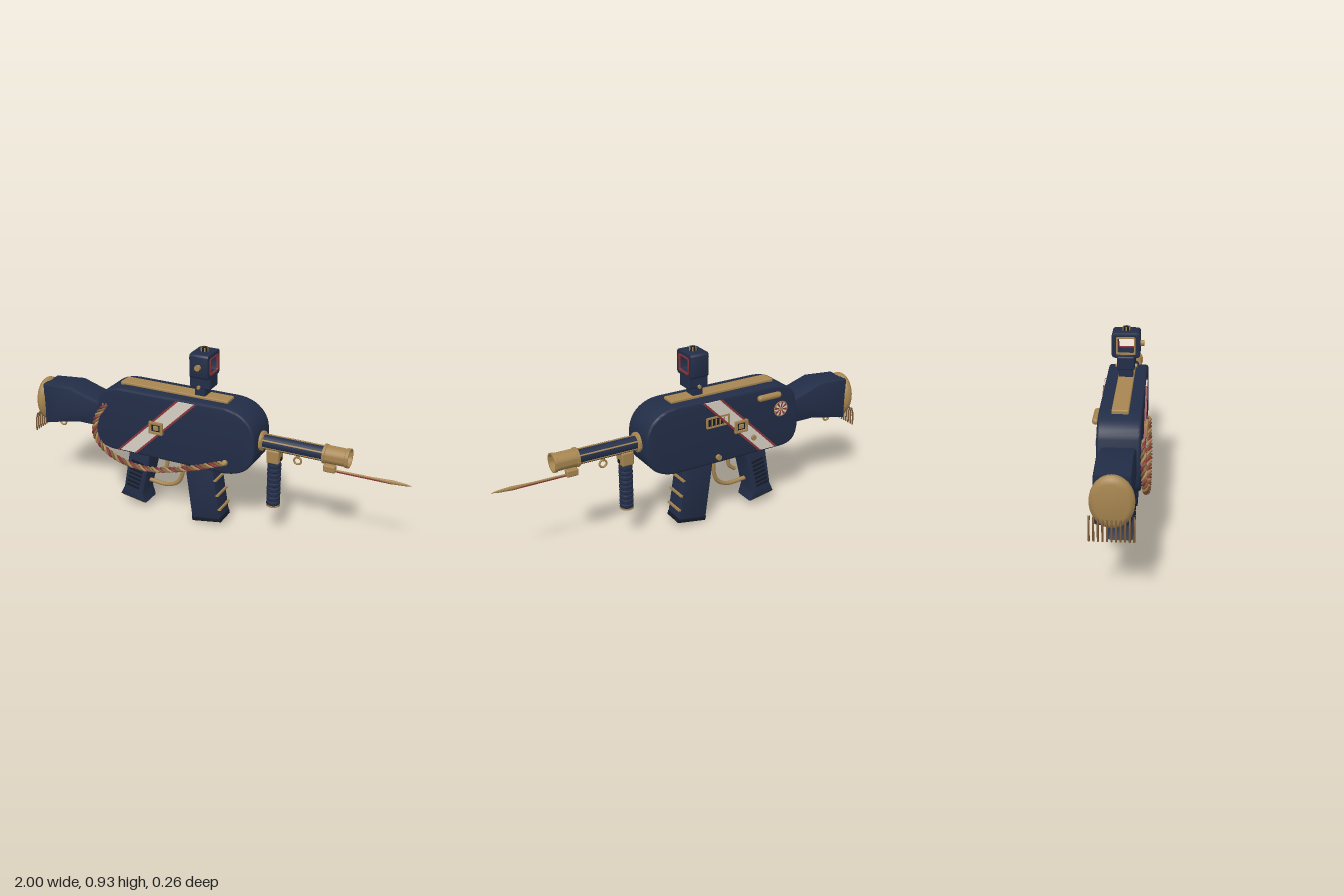
import * as THREE from 'three';
import { toCreasedNormals } from 'three/addons/utils/BufferGeometryUtils.js';
import { RoundedBoxGeometry } from 'three/addons/geometries/RoundedBoxGeometry.js';

const mat = (name, color) => Object.assign(new THREE.MeshStandardMaterial({ color }), { name });
const navy = mat('navy', 0x222d47);
const black = mat('dark navy', 0x141a28);
const gold = mat('antique gold', 0xa68550);
const bronze = mat('bronze', 0x7a5a38);
const red = mat('dark red', 0x8a3438);
const white = mat('ivory', 0xd8d0c4);

const V = (x, y, z = 0) => new THREE.Vector3(x, y, z);

export function createModel() {
  const model = new THREE.Group();
  model.name = 'ceremonialGun';
  model.position.z = -0.007;

  const add = (name, geo, material, x = 0, y = 0, z = 0) => {
    const m = new THREE.Mesh(geo, material);
    m.name = name;
    m.position.set(x, y, z);
    model.add(m);
    return m;
  };
  const box = (name, material, w, h, d, x, y, z = 0) => add(name, new THREE.BoxGeometry(w, h, d), material, x, y, z);
  const rbox = (name, material, w, h, d, x, y, z = 0, r = 0.008) =>
    add(name, new RoundedBoxGeometry(w, h, d, 2, r), material, x, y, z);
  const poly = (pts) => new THREE.Shape(pts.map(([x, y]) => new THREE.Vector2(x, y)));
  // Side outline extruded symmetrically across z, with bevelled edges
  const slab = (shape, half, bevel = 0.01, segs = 2) => {
    const g = new THREE.ExtrudeGeometry(shape, {
      depth: 2 * (half - bevel), bevelEnabled: bevel > 0, bevelSize: bevel, bevelThickness: bevel,
      bevelOffset: -bevel, bevelSegments: segs, curveSegments: 14,
    });
    g.translate(0, 0, -(half - bevel));
    return toCreasedNormals(g, 0.6);
  };
  const tube = (name, pts, r, material, segs = 30) =>
    add(name, new THREE.TubeGeometry(new THREE.CatmullRomCurve3(pts), segs, r, 8), material);
  const rod = (name, material, r, len, x, y, z, axis) => {
    const g = new THREE.CylinderGeometry(r, r, len, 24);
    if (axis === 'x') g.rotateZ(-Math.PI / 2);
    if (axis === 'z') g.rotateX(Math.PI / 2);
    return add(name, g, material, x, y, z);
  };
  // Profile of [radius, distance] pairs turned around the x axis
  const turned = (name, profile, material, x, y) => {
    const g = new THREE.LatheGeometry(profile.map(([r, d]) => new THREE.Vector2(r, d)), 32);
    return add(name, toCreasedNormals(g.rotateZ(-Math.PI / 2), 0.6), material, x, y);
  };
  const roundRect = (path, hw, hh, r) => {
    path.moveTo(-hw + r, -hh).lineTo(hw - r, -hh).quadraticCurveTo(hw, -hh, hw, -hh + r)
      .lineTo(hw, hh - r).quadraticCurveTo(hw, hh, hw - r, hh)
      .lineTo(-hw + r, hh).quadraticCurveTo(-hw, hh, -hw, hh - r)
      .lineTo(-hw, -hh + r).quadraticCurveTo(-hw, -hh, -hw + r, -hh);
    return path;
  };
  const frame = (hw, hh, r, iw, ih, ir) => {
    const s = roundRect(new THREE.Shape(), hw, hh, r);
    s.holes.push(roundRect(new THREE.Path(), iw, ih, ir));
    return s;
  };

  // Receiver
  const body = new THREE.Shape();
  body.moveTo(-0.52, 0.335).lineTo(0.1, 0.335).bezierCurveTo(0.2, 0.34, 0.265, 0.39, 0.265, 0.48)
    .lineTo(0.265, 0.53).bezierCurveTo(0.265, 0.62, 0.2, 0.68, 0.1, 0.682)
    .lineTo(-0.44, 0.682).bezierCurveTo(-0.53, 0.68, -0.575, 0.65, -0.592, 0.6)
    .lineTo(-0.617, 0.47).bezierCurveTo(-0.617, 0.37, -0.59, 0.34, -0.52, 0.335);
  add('receiver', slab(body, 0.096, 0.012, 3), navy);
  rbox('topRail', gold, 0.59, 0.026, 0.076, -0.195, 0.682, 0, 0.006);

  // Stock and butt plate
  add('stock', slab(poly([[-0.945, 0.39], [-0.725, 0.435], [-0.58, 0.435], [-0.58, 0.562], [-0.78, 0.625],
    [-0.945, 0.61]]), 0.078, 0.015), navy);
  const butt = turned('buttPlate', [[0, -0.028], [0.75, -0.026], [0.92, -0.02], [1, -0.006], [1, 0.008],
    [0.92, 0.022], [0, 0.026]], gold, -0.96, 0.505);
  butt.scale.set(1, 0.116, 0.092);
  // Fringe hanging from the butt plate
  for (let i = 0; i < 11; i++) {
    const z = -0.09 + i * 0.018;
    tube('fringeStrand', [V(-0.978, 0.45, z), V(-0.992, 0.41, z), V(-0.996, 0.345, z)], 0.0042, bronze, 6);
  }
  // Sling rings
  for (const [x, y] of [[-0.885, 0.38], [0.45, 0.44]]) {
    add('slingRing', new THREE.TorusGeometry(0.018, 0.005, 8, 20), gold, x, y);
    rod('ringStud', gold, 0.009, 0.03, x, y + 0.03, 0, 'y');
  }

  // Barrel with inlaid strips, collar and hollow muzzle
  rod('barrel', navy, 0.038, 0.35, 0.43, 0.508, 0, 'x');
  for (let i = 0; i < 6; i++) {
    const a = (i + 0.5) * Math.PI / 3;
    box('barrelStrip', gold, 0.33, 0.007, 0.007, 0.425, 0.508 + 0.037 * Math.sin(a), 0.037 * Math.cos(a)).rotation.x = -a;
  }
  turned('barrelCollar', [[0.038, 0], [0.049, 0], [0.049, 0.014], [0.038, 0.02]], gold, 0.262, 0.508);
  turned('muzzle', [[0.036, 0], [0.047, 0], [0.047, 0.012], [0.043, 0.014], [0.043, 0.108], [0.047, 0.11],
    [0.047, 0.125], [0.04, 0.125], [0.04, 0.05], [0, 0.05]], gold, 0.58, 0.508);
  rod('bore', navy, 0.0395, 0.01, 0.638, 0.508, 0, 'x');
  rod('boreCore', black, 0.028, 0.006, 0.644, 0.508, 0, 'x');

  // Bayonet
  rbox('bayonetMount', gold, 0.06, 0.036, 0.034, 0.61, 0.437);
  const blade = turned('bayonetBlade', [[0, 0], [0.006, 0], [0.006, 0.2], [0.01, 0.29], [0.006, 0.35], [0, 0.38]],
    gold, 0.62, 0.43);
  blade.scale.z = 0.7;
  blade.rotation.z = 0.01;
  box('bladeStripe', red, 0.28, 0.006, 0.01, 0.77, 0.427);

  // Ribbed front grip
  rbox('gripMount', gold, 0.064, 0.07, 0.066, 0.333, 0.445);
  box('gripMountScrew', black, 0.006, 0.02, 0.016, 0.365, 0.43);
  const ribs = [[0, 0.175], [0.03, 0.175]];
  for (let i = 0; i < 9; i++) {
    const y = 0.18 + i * 0.0255;
    ribs.push([0.034, y + 0.003], [0.034, y + 0.016], [0.028, y + 0.019], [0.028, y + 0.024]);
  }
  ribs.push([0, 0.412]);
  const ribGeo = new THREE.LatheGeometry(ribs.map(([r, y]) => new THREE.Vector2(r, y)), 24);
  add('frontGrip', toCreasedNormals(ribGeo, 0.5), navy, 0.333);
  rod('frontGripCap', gold, 0.035, 0.008, 0.333, 0.176, 0, 'y');

  // Pistol grip
  add('pistolGrip', slab(poly([[-0.51, 0.06], [-0.36, 0.035], [-0.375, 0.09], [-0.33, 0.27], [-0.315, 0.35],
    [-0.44, 0.35], [-0.485, 0.11]]), 0.06, 0.01), navy);
  box('pistolGripPlate', gold, 0.13, 0.008, 0.1, -0.436, 0.046).rotation.z = -0.165;
  for (const s of [-1, 1]) for (let i = 0; i < 7; i++) {
    box('gripRib', black, 0.07, 0.01, 0.01, -0.43 + i * 0.006, 0.125 + i * 0.024, s * 0.061).rotation.z = -0.2;
  }

  // Trigger and guard
  tube('triggerGuard', [V(-0.175, 0.34), V(-0.165, 0.25), V(-0.19, 0.18), V(-0.25, 0.147), V(-0.36, 0.15)], 0.011, gold);
  tube('trigger', [V(-0.275, 0.34), V(-0.255, 0.29), V(-0.26, 0.25), V(-0.295, 0.22)], 0.01, gold, 16);

  // Magazine with bands on its leading face
  add('magazine', slab(poly([[-0.087, 0.02], [0.07, 0.045], [0.022, 0.36], [-0.13, 0.36]]), 0.057, 0.006), navy);
  add('magazineFloor', slab(poly([[-0.084, 0.003], [0.075, 0.031], [0.07, 0.052], [-0.09, 0.024]]), 0.058, 0.004), black);
  for (const y of [0.26, 0.178, 0.1]) {
    box('magazineBand', gold, 0.022, 0.01, 0.112, 0.07 - (y - 0.045) * 0.152, y).rotation.z = 0.15;
  }

  // Sight: post, neck, open hood and knobs
  rbox('sightPost', navy, 0.056, 0.08, 0.066, -0.05, 0.715, 0, 0.004);
  rod('sightPin', gold, 0.009, 0.104, -0.05, 0.742, 0, 'z');
  rbox('sightNeck', navy, 0.11, 0.068, 0.084, -0.045, 0.768);
  const hood = add('sightHood', slab(frame(0.067, 0.062, 0.02, 0.042, 0.039, 0.008), 0.05, 0.006), navy, -0.04, 0.853);
  const trim = slab(frame(0.046, 0.043, 0.01, 0.038, 0.035, 0.007), 0.004, 0);
  const frontTrim = add('sightFrontTrim', trim, red, 0.009, 0.853);
  const rearTrim = add('sightRearTrim', trim, gold, -0.089, 0.853);
  for (const m of [hood, frontTrim, rearTrim]) m.rotation.y = Math.PI / 2;
  rod('sightSideKnob', gold, 0.014, 0.018, -0.04, 0.853, 0.075, 'z');
  rod('sightTopKnob', black, 0.017, 0.02, -0.04, 0.922, 0, 'y');
  for (let i = 0; i < 6; i++) {
    const a = i * Math.PI / 3;
    rod('knobRidge', gold, 0.004, 0.02, -0.04 + 0.016 * Math.cos(a), 0.923, 0.016 * Math.sin(a), 'y');
  }

  // Sash and buckle on each side
  const sashX = (y) => -0.43 + (y - 0.345) * 1.03;
  const band = (x0, x1) => poly([[sashX(0.347) + x0, 0.347], [sashX(0.347) + x1, 0.347],
    [sashX(0.672) + x1, 0.672], [sashX(0.672) + x0, 0.672]]);
  for (const s of [-1, 1]) {
    add('sash', slab(band(-0.045, 0.045), 0.003, 0), white, 0, 0, s * 0.098);
    for (const e of [-1, 1]) {
      add('sashEdge', slab(band(e * 0.049 - 0.007, e * 0.049 + 0.007), 0.0045, 0), red, 0, 0, s * 0.099);
    }
    add('buckleFrame', slab(frame(0.038, 0.032, 0.004, 0.024, 0.019, 0.002), 0.008, 0.002), gold, -0.257, 0.51, s * 0.105);
    box('bucklePlate', black, 0.05, 0.04, 0.006, -0.257, 0.51, s * 0.102);
    rbox('buckleCentre', gold, 0.028, 0.024, 0.012, -0.257, 0.51, s * 0.106, 0.003);
  }

  // Braided cord draped along the near side
  const cord = new THREE.CatmullRomCurve3([V(-0.545, 0.585, 0.1), V(-0.6, 0.5, 0.108), V(-0.61, 0.41, 0.113),
    V(-0.56, 0.345, 0.117), V(-0.46, 0.297, 0.12), V(-0.31, 0.28, 0.12), V(-0.1, 0.325, 0.115), V(0.115, 0.4, 0.104)]);
  [red, gold, bronze].forEach((material, k) => {
    const pts = [];
    for (let i = 0; i <= 140; i++) {
      const t = i / 140, a = t * Math.PI * 26 + k * Math.PI * 2 / 3;
      const p = cord.getPointAt(t), d = cord.getTangentAt(t);
      const n = V(-d.y, d.x).normalize();
      pts.push(p.addScaledVector(n, 0.009 * Math.cos(a)).add(V(0, 0, 0.009 * Math.sin(a))));
    }
    add('braidStrand', new THREE.TubeGeometry(new THREE.CatmullRomCurve3(pts), 280, 0.0065, 6), material);
  });
  add('cordStud', new THREE.SphereGeometry(0.015, 14, 10), gold, 0.115, 0.4, 0.1);

  // Far side: bolt handle, port, rosette and studs
  const bolt = add('boltHandle', new THREE.CapsuleGeometry(0.016, 0.108, 6, 14), gold, -0.42, 0.635, -0.108);
  bolt.rotation.z = Math.PI / 2;
  add('portFrame', slab(frame(0.066, 0.028, 0.004, 0.057, 0.019, 0.002), 0.004, 0), gold, -0.125, 0.565, -0.099);
  box('portPlate', black, 0.116, 0.04, 0.006, -0.125, 0.565, -0.096);
  for (let i = 0; i < 4; i++) box('portSlat', gold, 0.008, 0.03, 0.008, -0.16 + i * 0.023, 0.565, -0.098);
  rod('rosetteBase', red, 0.04, 0.006, -0.5, 0.55, -0.098, 'z');
  for (let i = 0; i < 8; i++) {
    const petal = new THREE.CircleGeometry(0.036, 4, i * Math.PI / 4, Math.PI / 8).rotateY(Math.PI);
    add('rosettePetal', petal, white, -0.5, 0.55, -0.102);
  }
  add('rosetteRing', new THREE.TorusGeometry(0.039, 0.003, 6, 28), gold, -0.5, 0.55, -0.1);
  rod('rosetteCentre', gold, 0.009, 0.008, -0.5, 0.55, -0.102, 'z');
  for (const [x, y] of [[-0.335, 0.43], [-0.13, 0.37]]) rod('sideStud', gold, 0.014, 0.02, x, y, -0.102, 'z');

  return model;
}
